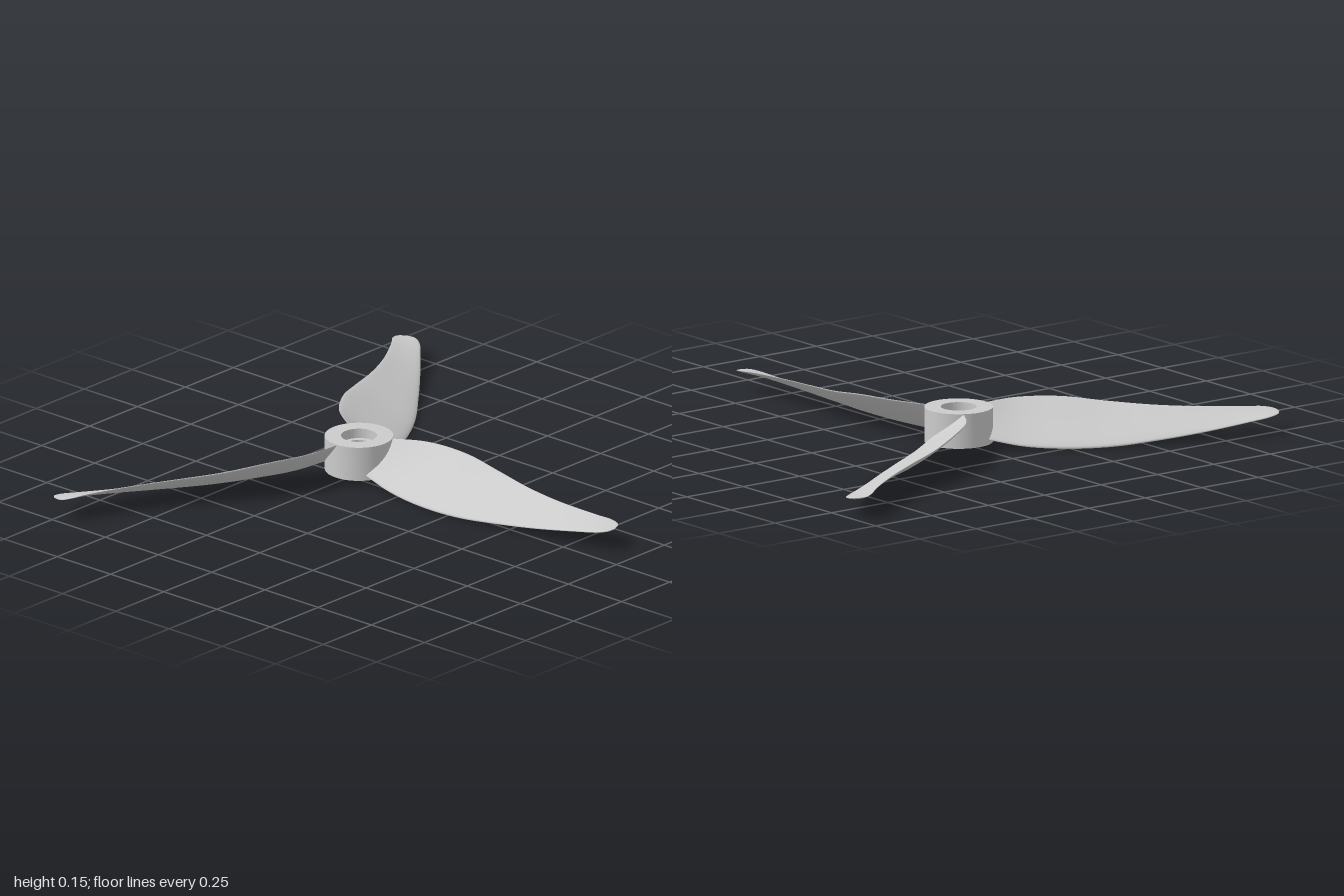
import * as THREE from 'three';
import { toCreasedNormals } from 'three/addons/utils/BufferGeometryUtils.js';

const material = new THREE.MeshStandardMaterial({ color: 0xcccccc });
const curve = (points) =>
  new THREE.CatmullRomCurve3(points.map((p) => new THREE.Vector3(...p)), false, 'centripetal');

// Low (front) and high (back) edges of a blade reaching along +x from the hub axis.
const lowEdge = curve([
  [0.09, 0.045, 0.07], [0.22, 0.02, 0.085], [0.38, 0.009, 0.094], [0.54, 0.01, 0.087],
  [0.7, 0.021, 0.063], [0.86, 0.037, 0.035], [1.03, 0.06, 0], [1.1, 0.07, -0.018],
  [1.132, 0.076, -0.04], [1.14, 0.079, -0.068],
]);
const highEdge = curve([
  [0.09, 0.147, -0.055], [0.22, 0.149, -0.118], [0.38, 0.142, -0.138], [0.54, 0.122, -0.128],
  [0.7, 0.108, -0.106], [0.86, 0.099, -0.096], [1.03, 0.092, -0.104], [1.09, 0.088, -0.112],
  [1.125, 0.083, -0.103], [1.14, 0.08, -0.07],
]);

// Thin twisted blade: a cambered teardrop section lofted between the two edges.
function bladeGeometry(rings = 72, sides = 28) {
  const positions = [];
  const indices = [];
  const p = new THREE.Vector3();
  for (let i = 0; i <= rings; i++) {
    const low = lowEdge.getPoint(i / rings);
    const high = highEdge.getPoint(i / rings);
    const chord = low.distanceTo(high);
    for (let j = 0; j < sides; j++) {
      const a = (j / sides) * Math.PI * 2;
      const s = (1 - Math.cos(a)) / 2;
      p.lerpVectors(low, high, s);
      p.y += chord * (0.065 * Math.sin(a) * (1.1 - 0.4 * s) - 0.14 * s * (1 - s));
      positions.push(p.x, p.y, p.z);
      if (i === rings) continue;
      const k = (j + 1) % sides;
      const [q, r, t, u] = [i * sides + j, (i + 1) * sides + j, (i + 1) * sides + k, i * sides + k];
      indices.push(q, r, t, q, t, u);
    }
  }
  const geometry = new THREE.BufferGeometry();
  geometry.setAttribute('position', new THREE.Float32BufferAttribute(positions, 3));
  geometry.setIndex(indices);
  geometry.computeVertexNormals();
  return geometry;
}

// Hub ring with a stepped bore, its profile traced as a closed loop.
function hubGeometry() {
  const profile = [
    [0.06, 0.026], [0.12, 0.026], [0.12, 0.15], [0.063, 0.15], [0.063, 0.115],
    [0.045, 0.115], [0.045, 0.045], [0.06, 0.045], [0.06, 0.026],
  ].map(([r, y]) => new THREE.Vector2(r, y));
  return toCreasedNormals(new THREE.LatheGeometry(profile, 64), 0.6);
}

export function createModel() {
  const model = new THREE.Group();
  model.name = 'propeller';

  const hub = new THREE.Mesh(hubGeometry(), material);
  hub.name = 'hub';
  model.add(hub);

  // Three equal blades around the axis
  const geometry = bladeGeometry();
  for (let i = 0; i < 3; i++) {
    const blade = new THREE.Mesh(geometry, material);
    blade.name = `blade${i + 1}`;
    blade.rotation.y = (i * Math.PI * 2) / 3;
    model.add(blade);
  }

  // The hub axis sits off the centre of the overall footprint
  model.position.set(-0.245, 0, -0.04);
  return model;
}
